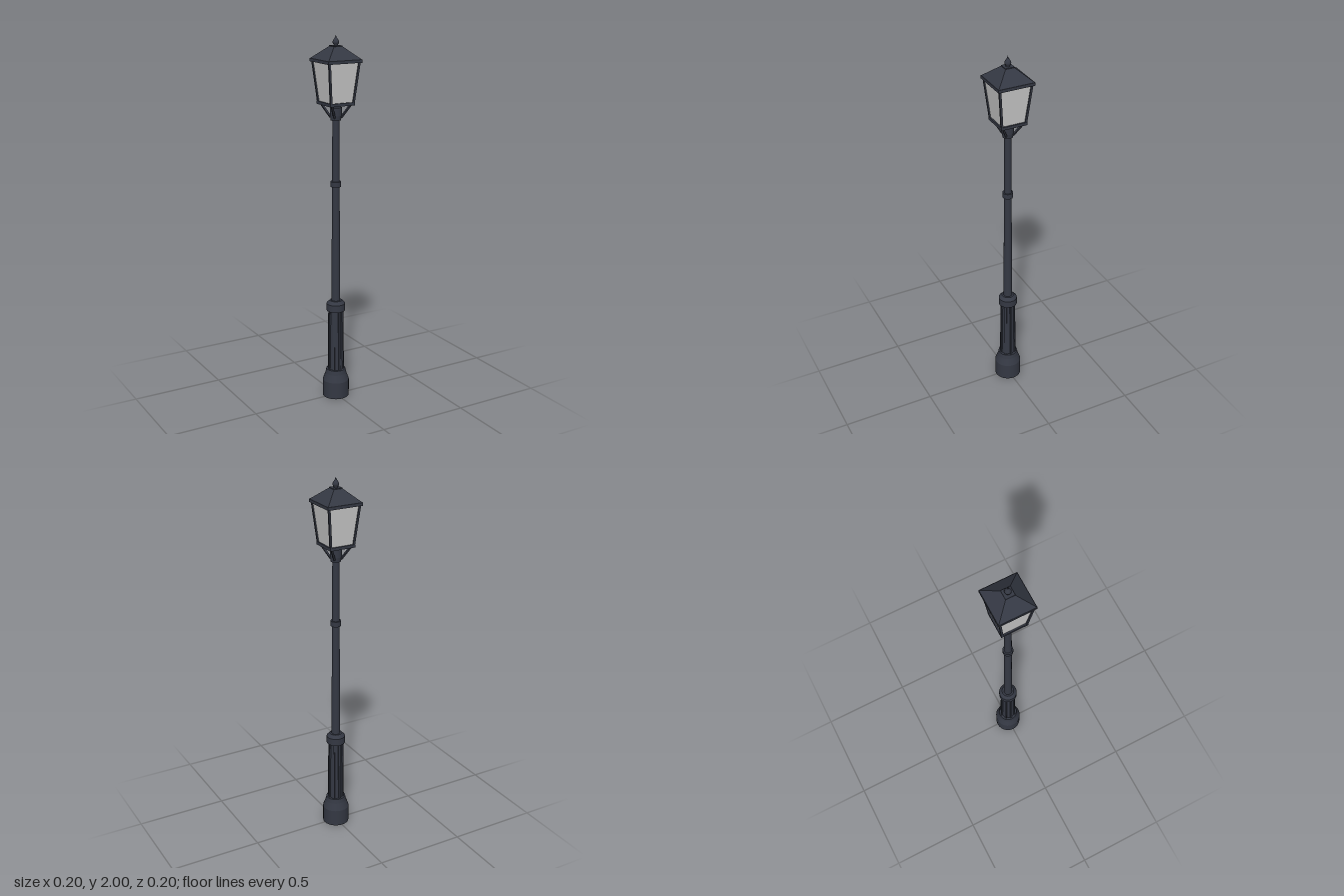
import * as THREE from 'three';

const iron = new THREE.MeshStandardMaterial({ color: 0x343843 });
const ironFlat = new THREE.MeshStandardMaterial({ color: 0x343843, flatShading: true });
const glass = new THREE.MeshStandardMaterial({ color: 0xcccccc, flatShading: true });

export function createModel() {
  const model = new THREE.Group();

  const add = (name, geometry, material, parent = model) => {
    const mesh = new THREE.Mesh(geometry, material);
    mesh.name = name;
    parent.add(mesh);
    return mesh;
  };

  // Round section between two heights
  const round = (name, y0, y1, r0, r1, sides = 24) => {
    const g = new THREE.CylinderGeometry(r1, r0, y1 - y0, sides);
    g.translate(0, (y0 + y1) / 2, 0);
    return add(name, g, iron);
  };

  // Square tapered section given by half widths
  const square = (name, y0, y1, h0, h1, material = ironFlat) => {
    const g = new THREE.CylinderGeometry(h1 * Math.SQRT2, h0 * Math.SQRT2, y1 - y0, 4);
    g.rotateY(Math.PI / 4);
    g.translate(0, (y0 + y1) / 2, 0);
    return add(name, g, material);
  };

  // Square bar between two points, turned to lie along the diagonal
  const bar = (name, a, b, thickness, turn = 0) => {
    const g = new THREE.BoxGeometry(thickness, a.distanceTo(b), thickness);
    g.rotateY(turn);
    const mesh = add(name, g, ironFlat);
    mesh.position.addVectors(a, b).multiplyScalar(0.5);
    mesh.quaternion.setFromUnitVectors(new THREE.Vector3(0, 1, 0), b.clone().sub(a).normalize());
    return mesh;
  };

  // Base
  round('baseDrum', 0, 0.095, 0.073, 0.073);
  round('baseShoulder', 0.095, 0.135, 0.073, 0.058);
  round('baseNeck', 0.135, 0.16, 0.058, 0.053);

  // Fluted lower column
  round('lowerColumn', 0.16, 0.51, 0.04, 0.035);
  for (let i = 0; i < 8; i++) {
    const a = (i / 8) * Math.PI * 2;
    const at = (r, y) => new THREE.Vector3(Math.sin(a) * r, y, Math.cos(a) * r);
    bar('columnRib', at(0.04, 0.155), at(0.036, 0.51), 0.011, a);
  }
  round('columnCollar', 0.505, 0.545, 0.051, 0.051);
  round('collarTaper', 0.545, 0.563, 0.051, 0.034);

  // Upper pole with ring and cap
  round('pole', 0.56, 1.6, 0.024, 0.018);
  round('poleRing', 1.203, 1.232, 0.028, 0.028);
  round('poleCapRim', 1.56, 1.585, 0.027, 0.031);
  round('poleCap', 1.585, 1.628, 0.031, 0.031);

  // Lantern body
  square('lanternFloor', 1.642, 1.658, 0.073, 0.073);
  square('lanternGlass', 1.658, 1.862, 0.065, 0.087, glass);
  square('roofRim', 1.862, 1.878, 0.1, 0.1);
  square('roof', 1.878, 1.942, 0.098, 0.025);
  square('roofCap', 1.942, 1.946, 0.025, 0.025);

  // Corner posts and support arms
  for (const sx of [-1, 1]) {
    for (const sz of [-1, 1]) {
      const at = (h, y) => new THREE.Vector3(sx * h, y, sz * h);
      bar('cornerPost', at(0.066, 1.65), at(0.088, 1.868), 0.011);
      bar('supportArm', at(0.02, 1.575), at(0.058, 1.648), 0.01);
    }
  }

  // Finial
  const profile = [[0.011, 1.944], [0.01, 1.951], [0.015, 1.956], [0.017, 1.964],
    [0.014, 1.973], [0.008, 1.982], [0.004, 1.988], [0, 2]];
  add('finial', new THREE.LatheGeometry(profile.map(p => new THREE.Vector2(...p)), 20), iron);

  return model;
}
